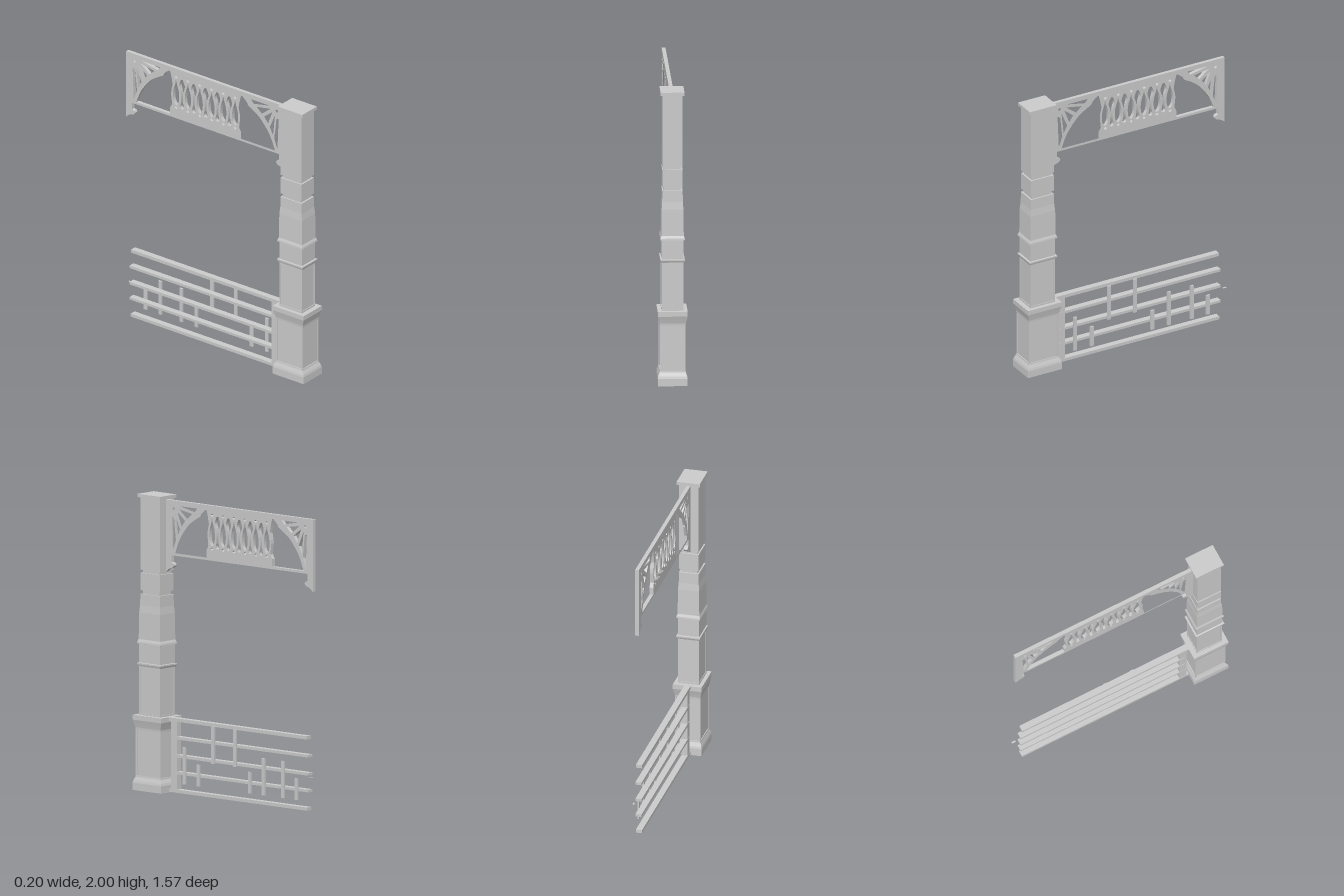
import * as THREE from 'three';

const material = new THREE.MeshStandardMaterial({ color: 0xcccccc });
const POST_Z = 0.655, DEPTH_RATIO = 1.3, VALANCE_Z = -0.108;

function add(parent, name, geometry) {
  const mesh = new THREE.Mesh(geometry, material);
  mesh.name = name;
  parent.add(mesh);
  return mesh;
}

// Box given by its limits on each axis
function box(parent, name, [x0, x1], [y0, y1], [z0, z1]) {
  const mesh = add(parent, name, new THREE.BoxGeometry(x1 - x0, y1 - y0, z1 - z0));
  mesh.position.set((x0 + x1) / 2, (y0 + y1) / 2, (z0 + z1) / 2);
  return mesh;
}

// Rectangular moulded column from a [half width, height] profile
function squareTurned(parent, name, profile) {
  const points = profile.map(([w, y]) => new THREE.Vector2(w * Math.SQRT2, y));
  let geometry = new THREE.LatheGeometry(points, 4);
  geometry.rotateY(Math.PI / 4);
  geometry.scale(1, 1, DEPTH_RATIO);
  geometry = geometry.toNonIndexed();
  geometry.computeVertexNormals();
  add(parent, name, geometry).position.z = POST_Z;
}

// Corner stiles that frame the sunken panels
function stiles(parent, name, half, width, y0, y1) {
  for (const sx of [-1, 1]) for (const sz of [-1, 1]) {
    const x = sx * (half - width / 2), z = POST_Z + sz * (half * DEPTH_RATIO - width / 2);
    box(parent, name, [x - width / 2, x + width / 2], [y0, y1], [z - width / 2, z + width / 2]);
  }
}

function createPost() {
  const post = new THREE.Group();
  post.name = 'post';
  squareTurned(post, 'pedestal', [
    [0, 0], [0.1, 0], [0.1, 0.05], [0.097, 0.065], [0.088, 0.09], [0.087, 0.1],
    [0.082, 0.1], [0.082, 0.41], [0.087, 0.41], [0.088, 0.425], [0.095, 0.455],
    [0.1, 0.475], [0.1, 0.508], [0, 0.508],
  ]);
  stiles(post, 'pedestalStile', 0.087, 0.01, 0.1, 0.41);
  squareTurned(post, 'shaft', [
    [0.073, 0.505], [0.073, 0.52], [0.069, 0.52], [0.069, 0.82], [0.073, 0.82], [0.073, 0.838],
    [0.078, 0.838], [0.082, 0.85], [0.082, 0.86], [0.073, 0.862], [0.073, 0.99],
    [0.082, 0.992], [0.081, 1.003], [0.075, 1.02], [0.073, 1.2], [0.069, 1.25], [0.068, 1.325],
    [0.058, 1.325], [0.058, 1.35], [0.068, 1.35], [0.068, 1.468], [0.058, 1.468], [0.058, 1.488],
    [0.068, 1.488], [0.068, 1.978], [0.08, 1.978], [0.08, 2], [0, 2],
  ]);
  stiles(post, 'shaftStile', 0.073, 0.009, 0.52, 0.82);
  return post;
}

const vectors = (pts) => pts.map(([x, y]) => new THREE.Vector2(x, y));
const mirrored = (pts) => pts.map(([x, y]) => [-x, y]);

// Closed path symmetric about a vertical line, from [height, half width] pairs
function symmetricHole(cx, sides) {
  const right = sides.map(([y, w]) => new THREE.Vector2(cx + w, y));
  const left = sides.map(([y, w]) => new THREE.Vector2(cx - w, y)).reverse();
  return new THREE.Path([
    ...new THREE.SplineCurve(right).getPoints(20),
    ...new THREE.SplineCurve(left).getPoints(20),
  ]);
}

function createValance() {
  const valance = new THREE.Group();
  valance.name = 'valance';

  // Outer edge with a scrolled foot at each end
  const edge = [[0.67, 1.975], [0.67, 1.487], [0.643, 1.508], [0.605, 1.522], [0.594, 1.536],
    [0.6, 1.548], [0.62, 1.556], [0.62, 1.603]];
  const shape = new THREE.Shape(vectors([...edge, ...mirrored(edge).reverse()]));

  // Arched openings beside the baluster panel, and sunburst piercings in the brackets
  const arch = new THREE.SplineCurve(vectors([[0.585, 1.62], [0.542, 1.72], [0.458, 1.825], [0.357, 1.89]]))
    .getPoints(16).map((p) => [p.x, p.y]);
  const opening = [...arch, [0.347, 1.91], [0.33, 1.925], [0.31, 1.942], [0.299, 1.942], [0.288, 1.9],
    [0.278, 1.847], [0.289, 1.8], [0.291, 1.772], [0.283, 1.7], [0.299, 1.67], [0.299, 1.62]];
  const rays = [
    [[0.542, 1.942], [0.384, 1.942], [0.405, 1.915]],
    [[0.548, 1.92], [0.431, 1.9], [0.474, 1.862]],
    [[0.563, 1.9], [0.495, 1.847], [0.526, 1.804]],
    [[0.585, 1.884], [0.542, 1.783], [0.569, 1.73]],
    [[0.616, 1.868], [0.595, 1.857], [0.579, 1.709], [0.606, 1.635]],
  ];
  const eye = [[0.612, 1.92], [0.6, 1.932], [0.588, 1.92], [0.6, 1.908]];
  for (const hole of [opening, eye, ...rays]) {
    shape.holes.push(new THREE.Path(vectors(hole)), new THREE.Path(vectors(mirrored(hole))));
  }

  // Row of pierced vase balusters with diamonds above and below
  const pitch = 0.0995;
  for (let i = 0; i < 6; i++) {
    const cx = (i - 2.5) * pitch;
    shape.holes.push(symmetricHole(cx, [[1.702, 0.004], [1.73, 0.021], [1.772, 0.026],
      [1.815, 0.021], [1.857, 0.008], [1.887, 0.004]]));
    for (const cy of [1.682, 1.91]) {
      shape.holes.push(new THREE.Path(vectors([[cx + 0.014, cy], [cx, cy + 0.011], [cx - 0.014, cy], [cx, cy - 0.011]])));
    }
    if (i < 5) {
      shape.holes.push(symmetricHole(cx + pitch / 2, [[1.685, 0.007], [1.7, 0.016], [1.73, 0.01],
        [1.772, 0.007], [1.815, 0.012], [1.857, 0.024], [1.89, 0.014], [1.905, 0.006]]));
    }
  }

  const geometry = new THREE.ExtrudeGeometry(shape, { depth: 0.026, bevelEnabled: false });
  geometry.translate(0, 0, -0.013);
  geometry.rotateY(Math.PI / 2);
  add(valance, 'fretworkPanel', geometry).position.z = VALANCE_Z;
  return valance;
}

function createRailing() {
  const railing = new THREE.Group();
  railing.name = 'railing';
  // Horizontal rails: bottom, top, z start, z end
  const rails = [
    [0.005, 0.027, 0.54, -0.733], [0.13, 0.148, 0.5, -0.743], [0.243, 0.262, 0.5, -0.743],
    [0.365, 0.384, 0.5, -0.743], [0.485, 0.508, 0.54, -0.73],
  ];
  for (const [y0, y1, z0, z1] of rails) box(railing, 'rail', [-0.022, 0.021], [y0, y1], [z1, z0]);
  box(railing, 'endUpright', [-0.02, 0.019], [0.02, 0.49], [0.455, 0.51]);

  // Staggered slats on the outer face: z, bottom, top
  const slats = [
    [0.38, 0.07, 0.32], [0.252, 0.07, 0.215], [0.119, 0.235, 0.487], [-0.081, 0.235, 0.487],
    [-0.215, 0.07, 0.215], [-0.342, 0.07, 0.32], [-0.518, 0.07, 0.32], [-0.642, 0.07, 0.215],
  ];
  for (const [z, y0, y1] of slats) box(railing, 'slat', [0.019, 0.031], [y0, y1], [z - 0.013, z + 0.013]);
  // Thin loose end tab
  box(railing, 'endTab', [0.019, 0.031], [0.235, 0.237], [-0.785, -0.757]);
  return railing;
}

export function createModel() {
  const model = new THREE.Group();
  model.name = 'porchBay';
  model.add(createPost(), createValance(), createRailing());
  return model;
}
